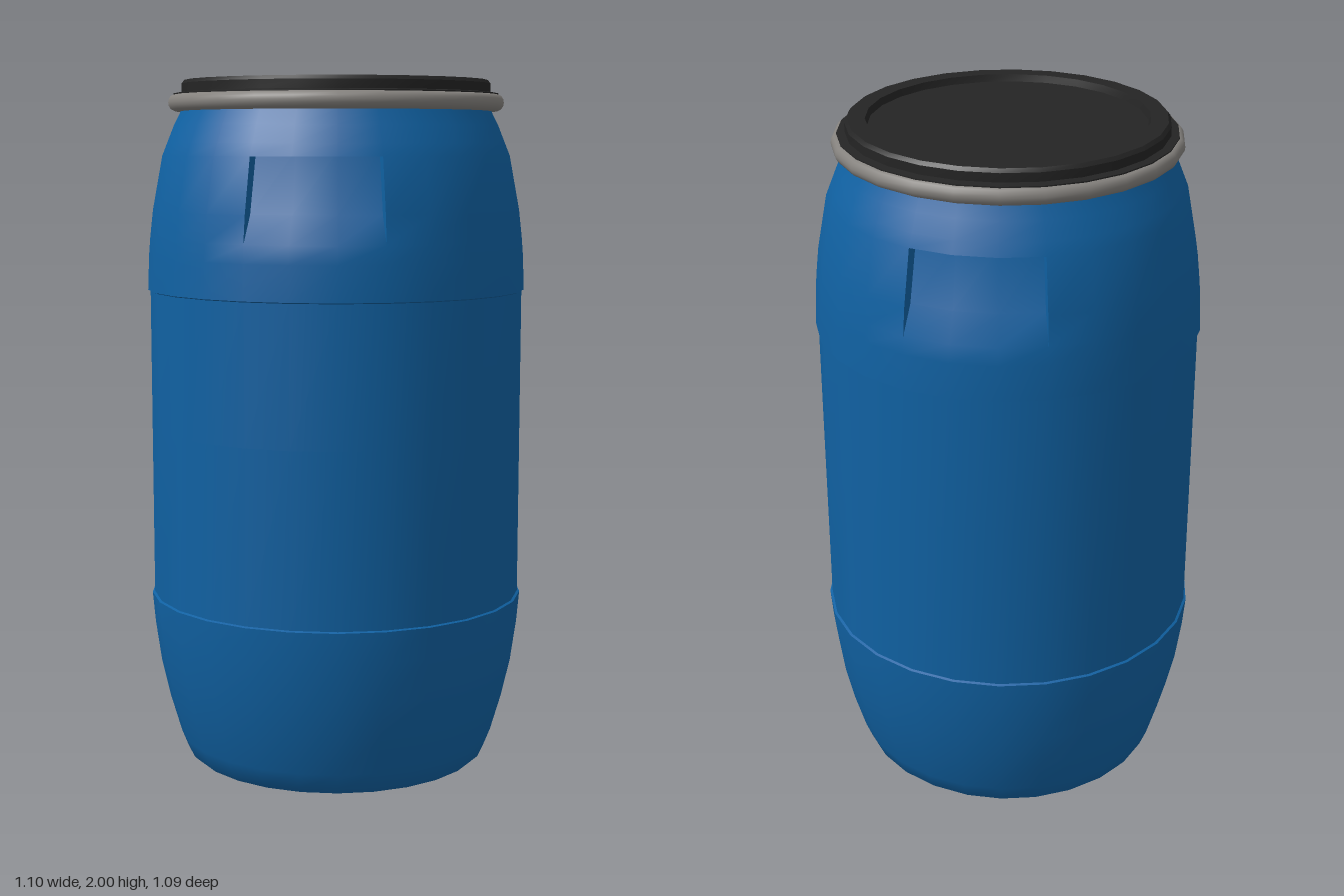
import * as THREE from 'three';
import { toCreasedNormals } from 'three/addons/utils/BufferGeometryUtils.js';

const SIDES = 26;

// Columns around the barrel; pocket edges are doubled so the side walls stand upright
function makeColumns(pockets) {
  const columns = [];
  for (let k = 0; k <= SIDES; k++) {
    const a = (k / SIDES) * Math.PI * 2;
    const pocket = pockets.find(([from, to]) => k >= from && k <= to);
    if (!pocket) { columns.push({ a, inside: 0 }); continue; }
    if (k === pocket[0]) columns.push({ a, inside: 0 });
    columns.push({ a, inside: 1 });
    if (k === pocket[1]) columns.push({ a, inside: 0 });
  }
  return columns;
}

// Sweep a profile of [radius, y, pocket depth, pocket lift] around the y axis
function revolve(rows, pockets = [], crease = 0.55) {
  const columns = makeColumns(pockets);
  const point = ([r, y, depth = 0, lift = 0], { a, inside }) => {
    const rr = r - depth * inside;
    return new THREE.Vector3(rr * Math.cos(a), y + lift * inside, rr * Math.sin(a));
  };
  const positions = [];
  const triangle = (a, b, c) => {
    const area = b.clone().sub(a).cross(c.clone().sub(a)).length();
    if (area > 1e-7) for (const p of [a, b, c]) positions.push(p.x, p.y, p.z);
  };
  for (let i = 0; i < rows.length - 1; i++) {
    for (let j = 0; j < columns.length - 1; j++) {
      const p = point(rows[i], columns[j]), q = point(rows[i + 1], columns[j]);
      const s = point(rows[i + 1], columns[j + 1]), t = point(rows[i], columns[j + 1]);
      triangle(p, q, t);
      triangle(q, s, t);
    }
  }
  const geometry = new THREE.BufferGeometry();
  geometry.setAttribute('position', new THREE.Float32BufferAttribute(positions, 3));
  return toCreasedNormals(geometry, crease);
}

export function createModel() {
  const group = new THREE.Group();
  const material = (name, color) => {
    const m = new THREE.MeshStandardMaterial({ color });
    m.name = name;
    return m;
  };
  const add = (name, geometry, mat) => {
    const mesh = new THREE.Mesh(geometry, mat);
    mesh.name = name;
    group.add(mesh);
  };
  const blue = material('blue plastic', 0x1061a2);
  const black = material('black plastic', 0x242424);
  const steel = material('grey steel', 0x85827e);

  // Barrel body: recessed base, bulged ends, slightly sunken waist, grip pockets front and back
  add('barrelBody', revolve([
    [0, 0.07], [0.33, 0.07], [0.355, 0.03], [0.38, 0.006], [0.405, 0], [0.43, 0.004], [0.448, 0.02],
    [0.468, 0.07], [0.5, 0.18], [0.525, 0.29], [0.542, 0.41], [0.55, 0.5],
    [0.543, 0.503], [0.543, 1], [0.543, 1.397], [0.55, 1.4],
    [0.546, 1.5], [0.542, 1.55], [0.533, 1.63, 0.029],
    [0.504, 1.785, 0.034, 0.014], [0.504, 1.785], [0.49, 1.82], [0.47, 1.87], [0.45, 1.91], [0.44, 1.94],
  ], [[5, 8], [18, 21]]), blue);

  // Clamping ring: rounded band around the rim
  add('clampRing', revolve([
    [0.44, 1.912], [0.466, 1.911], [0.478, 1.917], [0.484, 1.927], [0.485, 1.936],
    [0.483, 1.946], [0.477, 1.955], [0.468, 1.959], [0.44, 1.959], [0.44, 1.912],
  ], [], 0.8), steel);

  // Lid: flange, raised rim and sunken centre
  add('lid', revolve([
    [0, 1.94], [0.469, 1.94], [0.469, 1.962], [0.446, 1.965], [0.446, 1.99], [0.438, 2],
    [0.39, 2], [0.385, 1.98], [0, 1.98],
  ]), black);

  return group;
}
